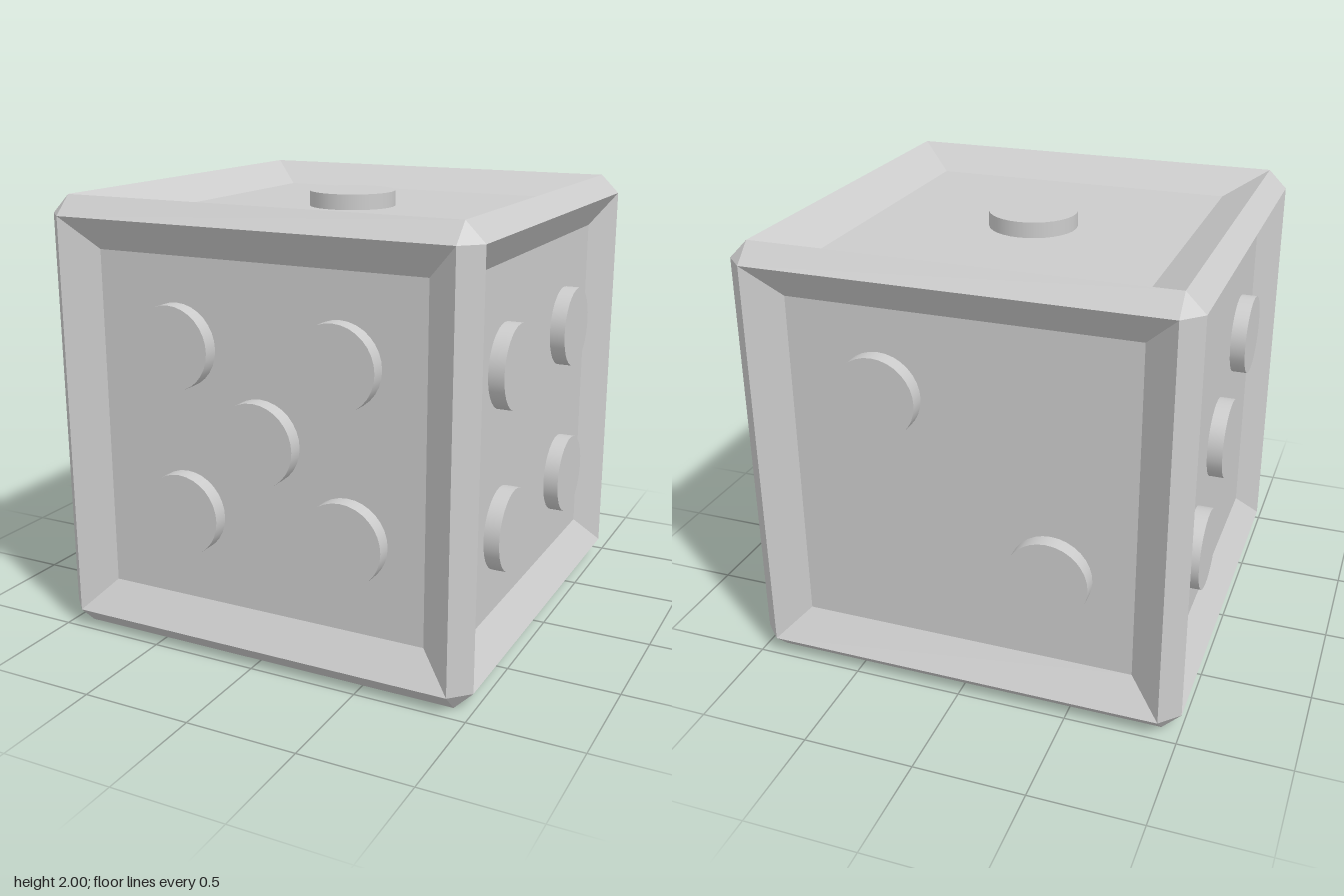
import * as THREE from 'three';

const H = 1;        // half size of the cube
const E = 0.915;    // where the edge chamfers begin
const FLOOR = 0.9;  // distance of the recessed panels from the centre
const PIP_TOP = 0.97;

// Each side: its frame (u right, v up, n outward), panel half width, pip radius and pip centres (u, v)
const SIDES = [
  { name: 'front', u: [1, 0, 0], v: [0, 1, 0], n: [0, 0, 1], inner: 0.77, r: 0.185,
    pips: [[-0.385, 0.385], [0.39, 0.385], [0.015, 0.01], [-0.36, -0.36], [0.42, -0.36]] },
  { name: 'back', u: [-1, 0, 0], v: [0, 1, 0], n: [0, 0, -1], inner: 0.77, r: 0.185,
    pips: [[-0.355, 0.39], [0.4, -0.34]] },
  { name: 'left', u: [0, 0, -1], v: [0, 1, 0], n: [1, 0, 0], inner: 0.77, r: 0.185,
    pips: [[-0.4, 0.33], [0.405, 0.34], [-0.395, -0.395], [0.405, -0.39]] },
  { name: 'right', u: [0, 0, 1], v: [0, 1, 0], n: [-1, 0, 0], inner: 0.77, r: 0.185,
    pips: [[0.41, 0.33], [0, -0.03], [-0.39, -0.395]] },
  { name: 'top', u: [1, 0, 0], v: [0, 0, -1], n: [0, 1, 0], inner: 0.725, r: 0.2,
    pips: [[-0.015, 0.02]] },
  { name: 'bottom', u: [1, 0, 0], v: [0, 0, 1], n: [0, -1, 0], inner: 0.77, r: 0.17,
    pips: [-0.46, 0, 0.46].flatMap(z => [[0.36, z - 0.02], [-0.36, z + 0.02]]) },
];

// Flat-shaded geometry from convex polygons, each turned to face away from the centre
function polygons(list) {
  const pos = [];
  for (const p of list) {
    const normal = new THREE.Vector3().crossVectors(p[1].clone().sub(p[0]), p[2].clone().sub(p[0]));
    const q = normal.dot(p[0]) < 0 ? [...p].reverse() : p;
    for (let i = 1; i < q.length - 1; i++) {
      for (const c of [q[0], q[i], q[i + 1]]) pos.push(c.x, c.y, c.z);
    }
  }
  const geo = new THREE.BufferGeometry();
  geo.setAttribute('position', new THREE.Float32BufferAttribute(pos, 3));
  geo.computeVertexNormals();
  return geo;
}

export function createModel() {
  const group = new THREE.Group();
  const flat = new THREE.MeshStandardMaterial({ color: 0xcccccc, flatShading: true });
  const smooth = new THREE.MeshStandardMaterial({ color: 0xcccccc });
  const add = (parent, geo, mat, name) => {
    const mesh = new THREE.Mesh(geo, mat);
    mesh.name = name;
    parent.add(mesh);
    return mesh;
  };
  const dice = new THREE.Group();
  dice.name = 'dice';
  dice.position.y = H;
  group.add(dice);

  // Chamfered edges and corner triangles
  const vec = (axis, a, b, c) => {
    const p = new THREE.Vector3();
    return p.setComponent(axis, a).setComponent((axis + 1) % 3, b).setComponent((axis + 2) % 3, c);
  };
  const frame = [];
  for (const s of [-1, 1]) for (const t of [-1, 1]) {
    for (let axis = 0; axis < 3; axis++) {
      frame.push([vec(axis, -E, s * H, t * E), vec(axis, E, s * H, t * E),
        vec(axis, E, s * E, t * H), vec(axis, -E, s * E, t * H)]);
    }
    for (const w of [-1, 1]) {
      frame.push([0, 1, 2].map(axis => new THREE.Vector3(s * E, t * E, w * E)
        .setComponent(axis, [s, t, w][axis] * H)));
    }
  }
  add(dice, polygons(frame), flat, 'chamferedFrame');

  const corners = [[-1, -1], [1, -1], [1, 1], [-1, 1]];
  for (const side of SIDES) {
    const face = new THREE.Group();
    face.name = side.name + 'Side';
    face.quaternion.setFromRotationMatrix(new THREE.Matrix4().makeBasis(
      ...[side.u, side.v, side.n].map(a => new THREE.Vector3(...a))));
    dice.add(face);

    // Recessed panel with its four sloping borders
    const ring = (half, z) => corners.map(([x, y]) => new THREE.Vector3(x * half, y * half, z));
    const outer = ring(E, H), inner = ring(side.inner, FLOOR);
    const walls = corners.map((_, i) => {
      const j = (i + 1) % 4;
      return [outer[i], outer[j], inner[j], inner[i]];
    });
    add(face, polygons([inner, ...walls]), flat, 'recessedPanel');

    // Raised round pips
    const depth = PIP_TOP - FLOOR + 0.02;
    const pipGeo = new THREE.CylinderGeometry(side.r, side.r, depth, 32).rotateX(Math.PI / 2);
    for (const [x, y] of side.pips) {
      add(face, pipGeo, smooth, 'pip').position.set(x, y, PIP_TOP - depth / 2);
    }
  }
  return group;
}
